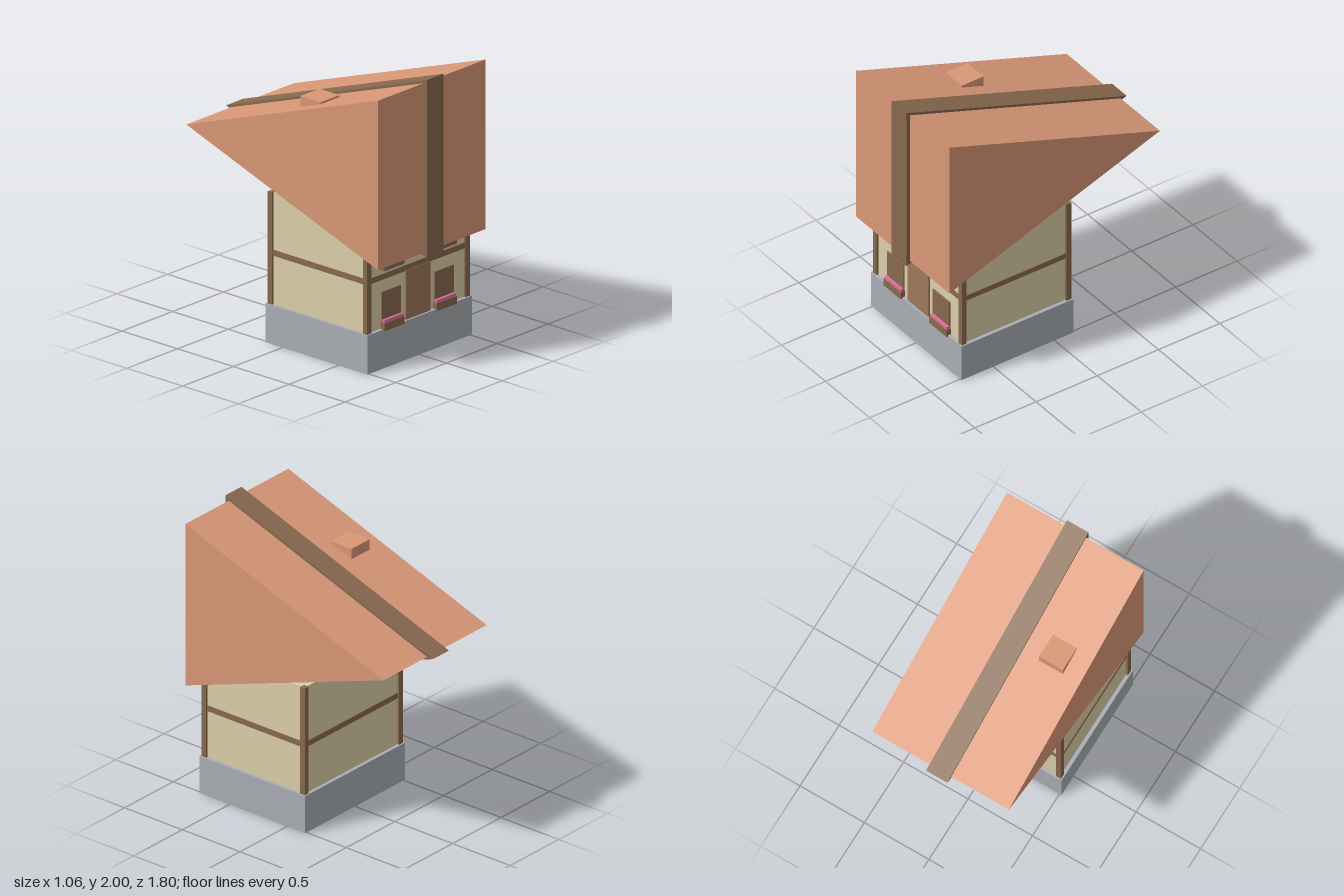
import * as THREE from 'three';

const mat = (color) => new THREE.MeshStandardMaterial({ color, flatShading: true });

export function createModel() {
  const house = new THREE.Group();
  house.name = 'house';

  const stone = mat(0xaaaeb4);
  const plaster = mat(0xdccfa8);
  const timber = mat(0x88694f);
  const doorWood = mat(0xa0785c);
  const tile = mat(0xd99877);
  const pink = mat(0xe0709a);

  const add = (name, geometry, material) => {
    const mesh = new THREE.Mesh(geometry, material);
    mesh.name = name;
    house.add(mesh);
    return mesh;
  };

  // Box given by its extents on each axis
  const box = (name, material, [x0, x1], [y0, y1], [z0, z1]) => {
    const mesh = add(name, new THREE.BoxGeometry(x1 - x0, y1 - y0, z1 - z0), material);
    mesh.position.set((x0 + x1) / 2, (y0 + y1) / 2, (z0 + z1) / 2);
    return mesh;
  };

  // Triangular prism: side profile of [z, y] points, centred across x
  const prism = (name, material, points, halfWidth) => {
    const shape = new THREE.Shape(points.map(([z, y]) => new THREE.Vector2(z, y)));
    const geometry = new THREE.ExtrudeGeometry(shape, { depth: halfWidth * 2, bevelEnabled: false });
    geometry.translate(0, 0, -halfWidth);
    geometry.rotateY(-Math.PI / 2);
    return add(name, geometry, material);
  };

  // Foundation and walls
  box('foundation', stone, [-0.515, 0.515], [0, 0.275], [-0.155, 0.76]);
  box('walls', plaster, [-0.49, 0.49], [0.275, 1.065], [-0.13, 0.735]);

  // Timber frame: corner posts and a beam all round
  for (const x of [-0.485, 0.485]) {
    for (const z of [-0.125, 0.73]) {
      box('cornerPost', timber, [x - 0.02, x + 0.02], [0.275, 1.067], [z - 0.02, z + 0.02]);
    }
  }
  box('floorBeam', timber, [-0.497, 0.497], [0.62, 0.66], [-0.137, 0.742]);

  // Door
  box('door', doorWood, [-0.12, 0.12], [0.275, 0.625], [0.7, 0.746]);

  // Windows with flower boxes, two per floor
  for (const x of [-0.26, 0.26]) {
    for (const y of [0.265, 0.69]) {
      box('window', timber, [x - 0.094, x + 0.094], [y + 0.055, y + 0.27], [0.7, 0.745]);
      box('flowerBox', timber, [x - 0.099, x + 0.099], [y, y + 0.055], [0.72, 0.77]);
      box('flowers', pink, [x - 0.094, x + 0.094], [y + 0.055, y + 0.075], [0.725, 0.765]);
    }
  }

  // Wedge roof with a wooden band around its middle
  prism('roof', tile, [[0.87, 1.97], [0.87, 0.77], [-0.85, 1.37]], 0.53);
  prism('roofBand', timber, [[0.9, 2], [0.9, 0.74], [-0.9, 1.37]], 0.083);

  // Chimney
  box('chimney', tile, [-0.398, -0.213], [1.58, 1.763], [0.055, 0.235]);

  return house;
}
